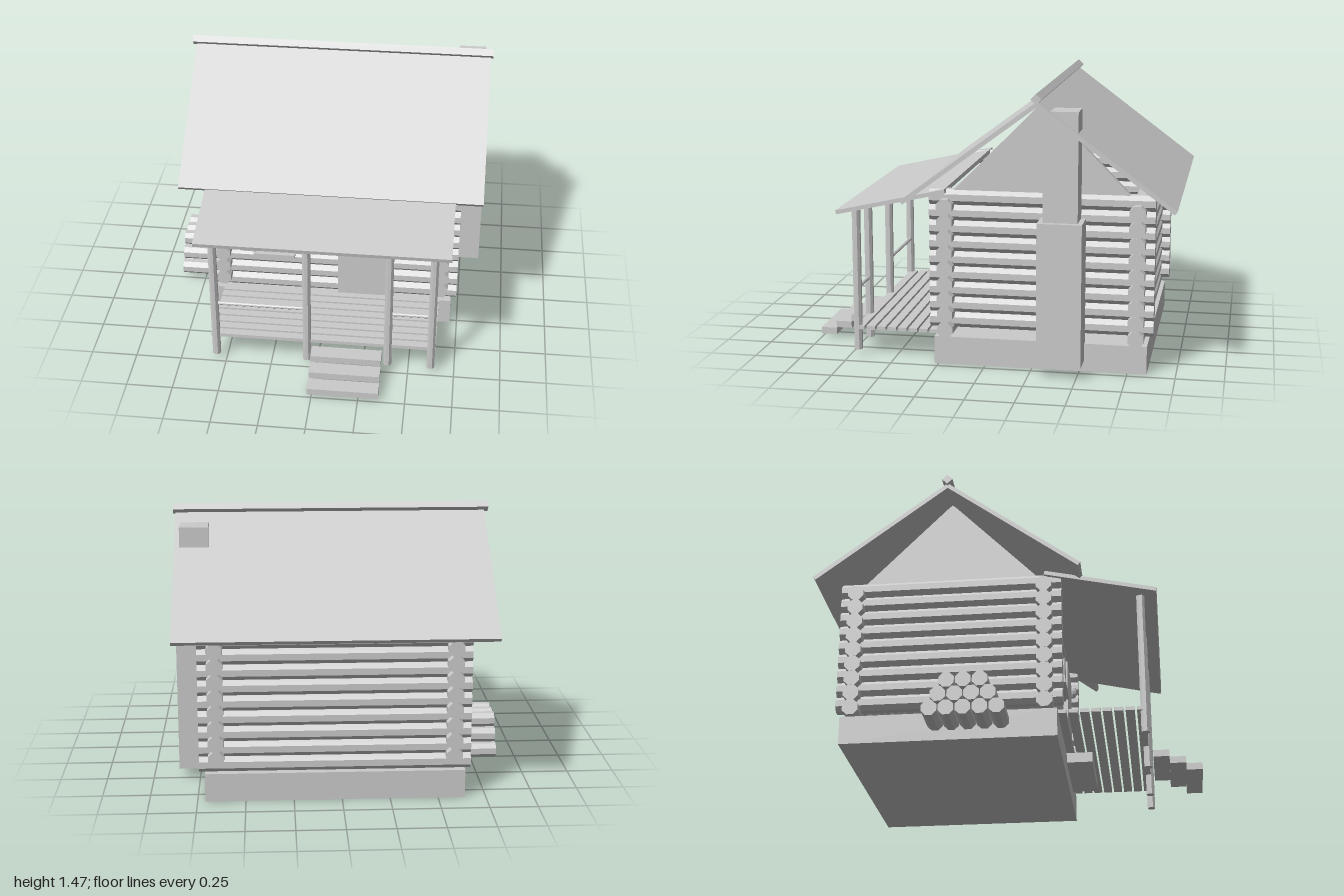
import * as THREE from 'three';

export function createModel() {
  const model = new THREE.Group();
  model.name = 'logCabin';
  const mat = new THREE.MeshStandardMaterial({ color: 0xcccccc, flatShading: true });

  const group = (name) => {
    const g = new THREE.Group();
    g.name = name;
    model.add(g);
    return g;
  };
  const add = (name, geo, parent = model) => {
    const m = new THREE.Mesh(geo, mat);
    m.name = name;
    parent.add(m);
    return m;
  };
  // Box given by its extents
  const box = (name, x0, x1, y0, y1, z0, z1, parent) => {
    const m = add(name, new THREE.BoxGeometry(x1 - x0, y1 - y0, z1 - z0), parent);
    m.position.set((x0 + x1) / 2, (y0 + y1) / 2, (z0 + z1) / 2);
    return m;
  };
  // Eight-sided log with flats facing up and sideways, along x or z
  const log = (name, axis, from, to, y, other, apothem, parent) => {
    const geo = new THREE.CylinderGeometry(1, 1, to - from, 8, 1, false, Math.PI / 8);
    const r = apothem / Math.cos(Math.PI / 8);
    geo.scale(r, 1, r);
    if (axis === 'x') geo.rotateZ(Math.PI / 2);
    else geo.rotateX(Math.PI / 2);
    const mid = (from + to) / 2;
    const m = add(name, geo, parent);
    m.position.set(axis === 'x' ? mid : other, y, axis === 'x' ? other : mid);
    return m;
  };
  // Sloping slab between two points of the side profile
  const slab = (name, x0, x1, zA, yA, zB, yB, t, parent) => {
    const dz = zB - zA, dy = yB - yA;
    const m = add(name, new THREE.BoxGeometry(x1 - x0, t, Math.hypot(dz, dy)), parent);
    m.position.set((x0 + x1) / 2, (yA + yB) / 2, (zA + zB) / 2);
    m.rotation.x = -Math.atan2(dy, dz);
    return m;
  };

  const CX = 0.035, CZ = -0.292;

  // Foundation
  box('foundation', -0.64, 0.71, 0, 0.15, -0.85, 0.27);

  // Log walls, side logs raised by half a log so the corners interlock
  const walls = group('logWalls');
  const pitch = 0.0823;
  for (let i = 0; i < 9; i++) {
    for (const s of [-1, 1]) {
      log('frontBackLog', 'x', -0.67, 0.74, 0.191 + i * pitch, CZ + s * 0.5, 0.041, walls);
      log('sideLog', 'z', -0.88, 0.298, 0.235 + i * pitch, CX + s * 0.615, 0.041, walls);
    }
  }

  // Gables
  const tri = new THREE.Shape([
    new THREE.Vector2(-0.46, 0.93), new THREE.Vector2(0.46, 0.93), new THREE.Vector2(0, 1.4),
  ]);
  for (const s of [-1, 1]) {
    const geo = new THREE.ExtrudeGeometry(tri, { depth: 0.04, bevelEnabled: false });
    geo.translate(0, 0, -0.02).rotateY(Math.PI / 2);
    add('gable', geo).position.set(CX + s * 0.615, 0, CZ);
  }

  // Main roof, ridge beam and porch roof
  const roof = group('roof');
  slab('frontRoof', -0.785, 0.857, CZ, 1.41, 0.405, 0.892, 0.023, roof);
  slab('backRoof', -0.785, 0.857, -0.992, 0.887, CZ, 1.41, 0.023, roof);
  const ridge = box('ridgeBeam', -0.805, 0.87, 1.418, 1.458, CZ - 0.02, CZ + 0.02, roof);
  ridge.rotation.x = Math.PI / 4;
  slab('porchRoof', -0.64, 0.71, 0.21, 0.928, 0.795, 0.797, 0.022, roof);

  // Chimney
  const chimney = group('chimney');
  box('chimneyBase', 0.68, 0.86, 0.06, 0.81, -0.525, -0.295, chimney);
  box('chimneyStack', 0.68, 0.83, 0.81, 1.375, -0.5, -0.322, chimney);

  // Porch deck, posts and rails
  const porch = group('porch');
  for (let i = 0; i < 8; i++) {
    const z = 0.717 - i * 0.058;
    box('deckPlank', -0.58, 0.645, 0.145, 0.165, z - 0.046, z, porch);
  }
  for (const x of [-0.555, -0.054, 0.387, 0.622]) {
    const post = add('porchPost', new THREE.CylinderGeometry(0.023, 0.023, 0.77, 8, 1, false, Math.PI / 8), porch);
    post.position.set(x, 0.415, 0.71);
  }
  log('porchRail', 'x', -0.555, -0.054, 0.369, 0.71, 0.01, porch);
  log('porchRail', 'x', 0.387, 0.622, 0.369, 0.71, 0.01, porch);

  // Steps up to the deck and the doorstep under it
  for (let i = 0; i < 3; i++) {
    const z = 1 - i * 0.087;
    box('step', -0.023, 0.358, 0.02 + i * 0.041, 0.057 + i * 0.041, z - 0.087, z, porch);
  }
  box('doorstep', -0.015, 0.455, 0.09, 0.145, 0.265, 0.41, porch);

  // Door with knob
  const door = group('door');
  box('doorPanel', 0.07, 0.365, 0.16, 0.735, 0.2, 0.275, door);
  add('doorKnob', new THREE.SphereGeometry(0.009, 8, 6), door).position.set(0.325, 0.437, 0.285);

  // Window with shutters, sill, lintel and crossbars
  const win = group('window');
  box('pane', -0.4, -0.18, 0.41, 0.645, 0.2, 0.262, win);
  box('shutter', -0.478, -0.395, 0.415, 0.64, 0.24, 0.278, win);
  box('shutter', -0.182, -0.1, 0.415, 0.64, 0.24, 0.278, win);
  box('lintel', -0.4, -0.178, 0.64, 0.658, 0.22, 0.285, win);
  box('sill', -0.405, -0.172, 0.395, 0.415, 0.22, 0.298, win);
  box('crossbar', -0.376, -0.2, 0.525, 0.535, 0.26, 0.272, win);
  box('upright', -0.294, -0.282, 0.43, 0.635, 0.26, 0.272, win);

  // Wall lamp
  const lamp = add('wallLamp', new THREE.SphereGeometry(0.026, 8, 6));
  lamp.scale.set(1, 1.5, 1);
  lamp.position.set(0.49, 0.725, 0.276);

  // Woodpile
  const pile = group('woodpile');
  for (let row = 0; row < 3; row++) {
    for (let i = 0; i < 5 - row; i++) {
      const z = -0.178 + (i - (4 - row) / 2) * 0.084;
      log('firewood', 'x', -0.875, -0.67, 0.079 + row * 0.074, z, 0.039, pile);
    }
  }

  return model;
}
